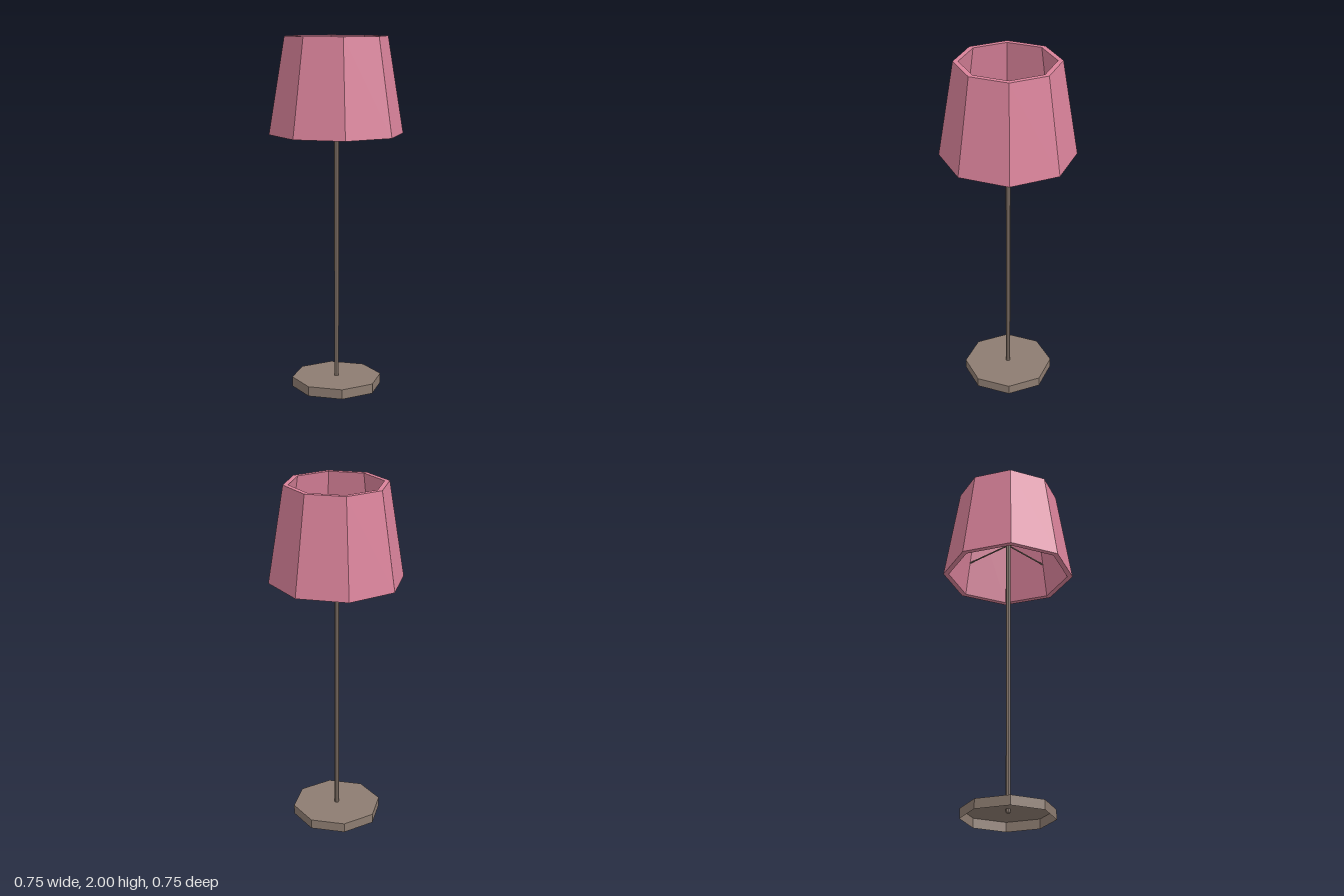
import * as THREE from 'three';

const SIDES = 8;

function material(name, color, side = THREE.FrontSide) {
  const m = new THREE.MeshStandardMaterial({ color, side, flatShading: true });
  m.name = name;
  return m;
}

export function createModel() {
  const lamp = new THREE.Group();
  lamp.name = 'floorLamp';

  const pink = material('pinkFabric', 0xd9829a);
  const metal = material('brownMetal', 0x8d7c71, THREE.DoubleSide);
  const yellow = material('yellowBulb', 0xdedb24);

  const add = (name, geometry, mat, y) => {
    const mesh = new THREE.Mesh(geometry, mat);
    mesh.name = name;
    mesh.position.y = y;
    lamp.add(mesh);
    return mesh;
  };

  // Base: a shallow shell, open underneath
  const baseR = 0.257, baseH = 0.055;
  add('baseRim', new THREE.CylinderGeometry(baseR, baseR, baseH, SIDES, 1, true), metal, baseH / 2);
  // Same vertex angles as the rim
  add('baseTop', new THREE.CircleGeometry(baseR, SIDES).rotateX(-Math.PI / 2), metal, baseH);

  // Pole, poking slightly through the base top
  const poleBottom = 0.035, poleTop = 1.67;
  add('pole', new THREE.CylinderGeometry(0.013, 0.013, poleTop - poleBottom, SIDES),
    metal, (poleTop + poleBottom) / 2);

  // Four spokes holding the shade
  for (let i = 0; i < 4; i++) {
    const spoke = add('shadeSpoke', new THREE.BoxGeometry(0.315, 0.006, 0.006).translate(0.1575, 0, 0),
      metal, 1.662);
    spoke.rotation.y = i * Math.PI / 2;
  }

  // Bulb
  add('bulb', new THREE.SphereGeometry(0.052, SIDES, 6), yellow, 1.715);

  // Shade: tapered wall with thickness, open at both ends
  const wall = [[0.377, 1.46], [0.288, 2], [0.259, 2], [0.346, 1.46], [0.377, 1.46]]
    .map(([r, y]) => new THREE.Vector2(r, y));
  add('shade', new THREE.LatheGeometry(wall, SIDES), pink, 0);

  return lamp;
}
